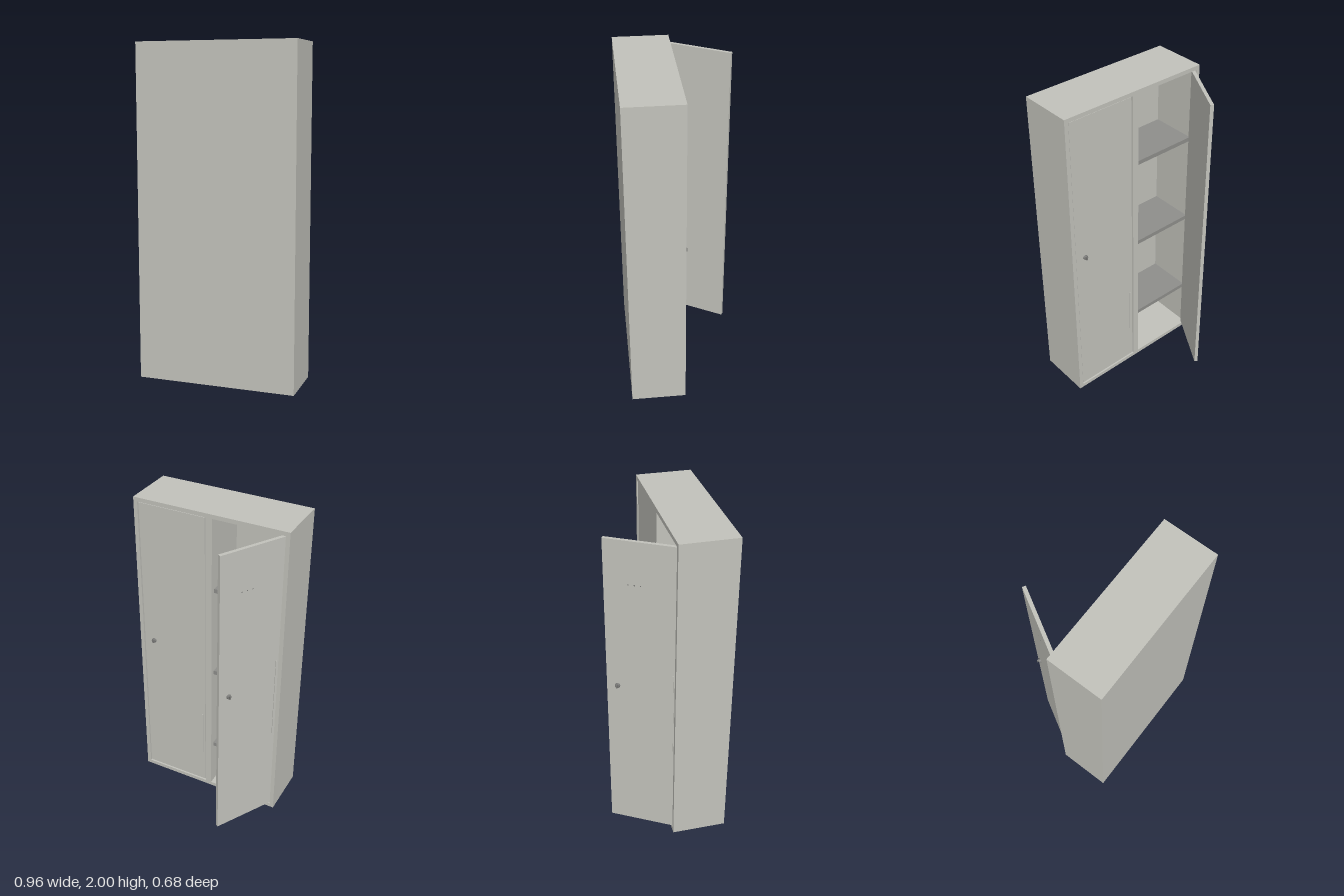
import * as THREE from 'three';

const mat = (name, color) => new THREE.MeshStandardMaterial({ name, color });

export function createModel() {
  const paint = mat('light grey paint', 0xc2c2bb);
  const shelfGrey = mat('shelf grey', 0x8e8e8b);
  const metal = mat('lock metal', 0x7c7c7a);

  const model = new THREE.Group();
  model.name = 'cabinet';

  // Box given by its two extreme corners
  const box = (parent, name, material, a, b) => {
    const size = b.map((v, i) => v - a[i]);
    const mesh = new THREE.Mesh(new THREE.BoxGeometry(...size), material);
    mesh.position.set(...a.map((v, i) => (v + b[i]) / 2));
    mesh.name = name;
    parent.add(mesh);
    return mesh;
  };

  // Carcass: closed panel at +z, open towards -z
  const W = 0.48, T = 0.025, Z0 = 0.006, Z1 = 0.34;
  box(model, 'bottomPanel', paint, [-W, 0, Z0], [W, T, Z1]);
  box(model, 'topPanel', paint, [-W, 2 - T, Z0], [W, 2, Z1]);
  for (const s of [-1, 1]) {
    const xs = [s * W, s * (W - T)].sort((p, q) => p - q);
    box(model, s > 0 ? 'leftWall' : 'rightWall', paint, [xs[0], T, Z0], [xs[1], 2 - T, Z1]);
  }
  box(model, 'solidPanel', paint, [-W + T, T, Z1 - 0.02], [W - T, 2 - T, Z1]);
  box(model, 'partition', paint, [-0.02, T, Z0], [0.02, 2 - T, Z1 - 0.02]);

  // Three shelves in each compartment
  for (const y of [0.345, 0.928, 1.51]) {
    box(model, 'shelf', shelfGrey, [-W + T, y - 0.013, 0.035], [-0.02, y + 0.013, Z1 - 0.02]);
    box(model, 'shelf', shelfGrey, [0.02, y - 0.013, 0.035], [W - T, y + 0.013, Z1 - 0.02]);
  }

  // Door: hinge at local x = 0, outer face at local z = 0 facing -z
  const makeDoor = (name, width, stripLow, stripHigh) => {
    const door = new THREE.Group();
    door.name = name;
    box(door, 'doorPanel', paint, [0, 0.032, 0], [width, 1.97, 0.021]);
    box(door, 'hingeStrip', paint, [0.014, stripLow, -0.004], [0.022, stripHigh, 0]);

    // Round lock with a small turning grip
    const lock = new THREE.Mesh(new THREE.CylinderGeometry(0.013, 0.015, 0.012, 20), metal);
    lock.rotation.x = -Math.PI / 2;
    lock.position.set(width - 0.065, 1.055, -0.006);
    lock.name = 'lock';
    door.add(lock);
    box(door, 'lockGrip', metal, [width - 0.069, 1.044, -0.02], [width - 0.061, 1.066, -0.012]);
    model.add(door);
    return door;
  };

  const closedDoor = makeDoor('closedDoor', 0.423, 0.27, 0.585);
  closedDoor.position.set(0.027, 0, Z0 + 0.005);

  // Open door swung outward by sixty degrees
  const openDoor = makeDoor('openDoor', 0.41, 0.64, 1.18);
  openDoor.position.set(-0.454, 0, 0.015);
  openDoor.rotation.y = Math.PI / 3;

  // Small vent dots high on the open door
  for (let i = 0; i < 3; i++) {
    const x = 0.2 + i * 0.034;
    box(openDoor, 'ventDot', metal, [x, 1.715, -0.001], [x + 0.006, 1.721, 0]);
  }

  return model;
}
